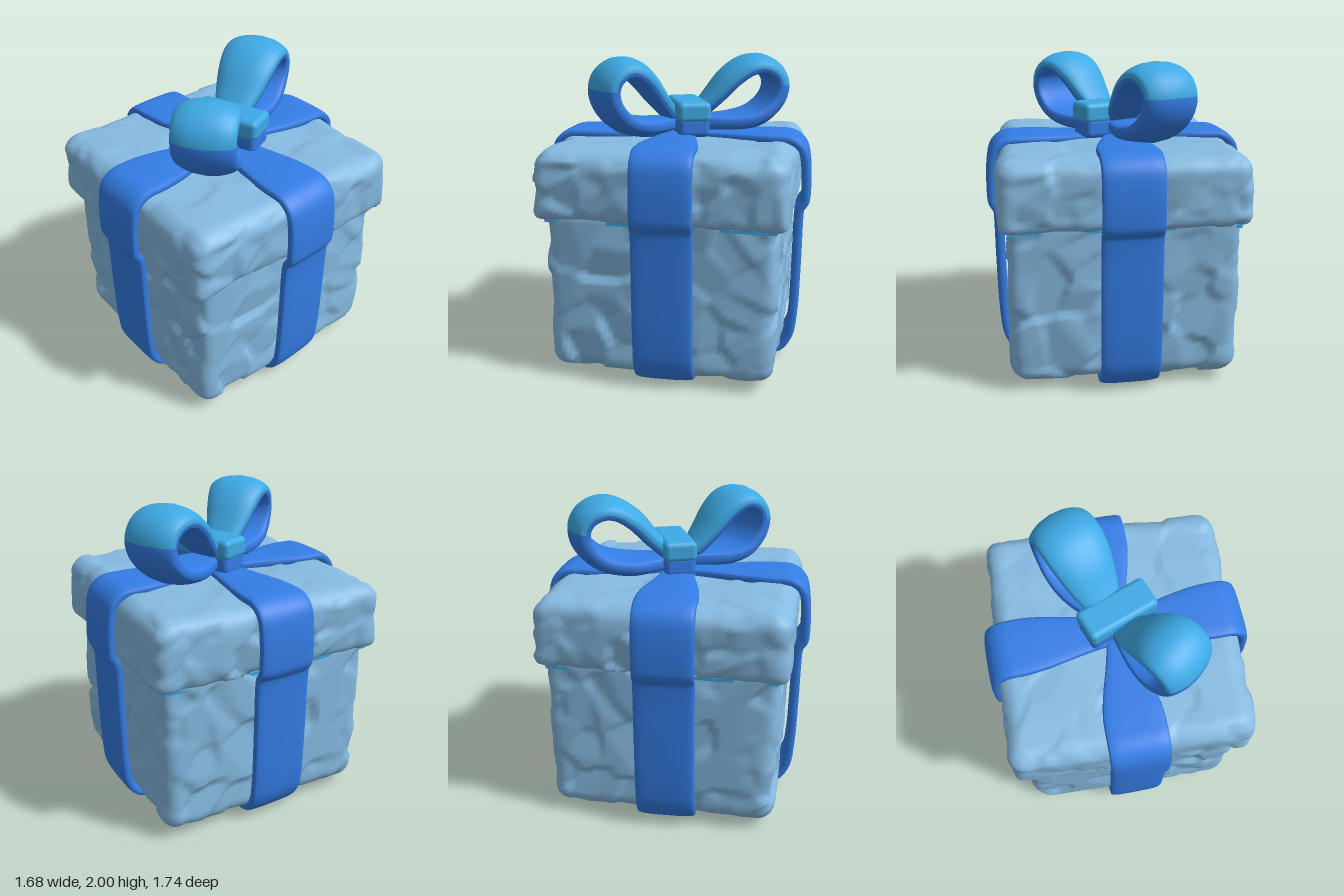
import * as THREE from 'three';
import { mergeVertices } from 'three/addons/utils/BufferGeometryUtils.js';
import { RoundedBoxGeometry } from 'three/addons/geometries/RoundedBoxGeometry.js';

const paper = new THREE.MeshStandardMaterial({ color: 0x86bbe2 });
paper.name = 'pale blue';
const ribbonBlue = new THREE.MeshStandardMaterial({ color: 0x347de6 });
ribbonBlue.name = 'ribbon blue';
const skyBlue = new THREE.MeshStandardMaterial({ color: 0x3eaae6 });
skyBlue.name = 'sky blue';

function seeded(seed) {
  return () => {
    seed = (seed * 16807) % 2147483647;
    return seed / 2147483647;
  };
}

// Rounded box whose surface is broken into randomly tilted, chipped facets
function chippedBox(w, h, d, rBottom, rTop, seed) {
  const rand = seeded(seed);
  const half = new THREE.Vector3(w / 2, h / 2, d / 2);
  const cells = [];
  for (let i = 0; i < 180; i++) {
    const c = new THREE.Vector3(rand() - 0.5, rand() - 0.5, rand() - 0.5).multiplyScalar(2);
    const axis = ['x', 'y', 'z'][i % 3];
    c[axis] = Math.sign(c[axis]);
    c.multiply(half);
    const tilt = new THREE.Vector3(rand() - 0.5, rand() - 0.5, rand() - 0.5).multiplyScalar(0.34);
    cells.push({ c, tilt, lift: (rand() - 0.6) * 0.016 });
  }
  let geo = new THREE.BoxGeometry(w, h, d, 56, Math.max(18, Math.round(h * 38)), 56);
  const pos = geo.attributes.position;
  const p = new THREE.Vector3(), q = new THREE.Vector3(), n = new THREE.Vector3();
  for (let i = 0; i < pos.count; i++) {
    p.fromBufferAttribute(pos, i);
    const r = THREE.MathUtils.lerp(rBottom, rTop, p.y / h + 0.5);
    const inner = half.clone().subScalar(r);
    q.copy(p).clamp(inner.clone().negate(), inner);
    n.copy(p).sub(q).normalize();
    p.copy(q).addScaledVector(n, r);
    let sum = 0, weight = 1e-30;
    for (const { c, tilt, lift } of cells) {
      const k = Math.exp(-900 * p.distanceToSquared(c));
      sum += k * (tilt.x * (p.x - c.x) + tilt.y * (p.y - c.y) + tilt.z * (p.z - c.z) + lift);
      weight += k;
    }
    n.y *= 0.5;
    p.addScaledVector(n, THREE.MathUtils.clamp(sum / weight, -0.024, 0.007));
    pos.setXYZ(i, p.x, p.y, p.z);
  }
  geo.deleteAttribute('uv');
  geo.deleteAttribute('normal');
  geo = mergeVertices(geo, 1e-4);
  geo.computeVertexNormals();
  return geo;
}

// Closed band: soft rectangular section swept round a counterclockwise path in
// the xy plane, its outside domed by crown(r). Faces for which isLight(...)
// holds use the second material.
function bandGeometry(points, halfWidth, halfThick, crown = () => 0, isLight = () => false) {
  const curve = new THREE.CatmullRomCurve3(
    points.map(([x, y]) => new THREE.Vector3(x, y, 0)), true, 'centripetal');
  const N = points.length * 6, M = 28;
  const verts = [], dark = [], light = [];
  const soft = (v, e) => Math.sign(v) * Math.pow(Math.abs(v), e);
  for (let i = 0; i < N; i++) {
    const c = curve.getPoint(i / N), t = curve.getTangent(i / N);
    const r = Math.abs(c.x);
    for (let j = 0; j < M; j++) {
      const a = (j / M) * Math.PI * 2;
      const b = soft(Math.cos(a), 0.6);
      const off = halfThick * soft(Math.sin(a), 0.45) + (j < M / 2 ? crown(r) * (1 - b * b) : 0);
      verts.push(c.x + t.y * off, c.y - t.x * off, halfWidth(r) * b);
    }
  }
  for (let i = 0; i < N; i++) {
    for (let j = 0; j < M; j++) {
      const i2 = (i + 1) % N, j2 = (j + 1) % M;
      const a = i * M + j, b = i * M + j2, c = i2 * M + j, d = i2 * M + j2;
      (isLight(i / N, j < M / 2) ? light : dark).push(a, b, d, a, d, c);
    }
  }
  const geo = new THREE.BufferGeometry();
  geo.setAttribute('position', new THREE.Float32BufferAttribute(verts, 3));
  geo.setIndex([...dark, ...light]);
  geo.addGroup(0, dark.length, 0);
  geo.addGroup(dark.length, light.length, 1);
  geo.computeVertexNormals();
  return geo;
}

// Ribbon round the whole box; body and lid are its outer half lengths
function ribbonGeometry(body, lid, waist) {
  const t = 0.032, b = body - t, l = lid - t;
  const right = [
    [0.3, 0.04], [b - 0.18, 0.042], [b - 0.09, 0.07], [b - 0.03, 0.16], [b - 0.01, 0.3],
    [b, 0.65], [b + 0.005, 1.0], [b + 0.012, 1.04], [l - 0.005, 1.085], [l, 1.13],
    [l - 0.01, 1.34], [l - 0.035, 1.43], [l - 0.1, 1.482], [l - 0.22, 1.492], [0.3, 1.487],
  ];
  const left = right.map(([x, y]) => [-x, y]).reverse();
  const width = (r) => waist + (0.187 - waist) * THREE.MathUtils.smoothstep(r, 0, 0.62);
  return bandGeometry([[0, 0.04], ...right, [0, 1.482], ...left], width, t);
}

// Plump teardrop bow loop reaching out along +x
function loopGeometry(s) {
  const path = [
    [0.04, 1.575], [0.2, 1.565], [0.36, 1.575], [0.49, 1.615], [0.585, 1.71], [0.607, 1.8],
    [0.575, 1.87], [0.5, 1.912], [0.42, 1.905], [0.32, 1.84], [0.21, 1.725], [0.11, 1.63],
  ].map(([x, y]) => [x * s, y]);
  const width = (r) => 0.05 + 0.145 * Math.sin(Math.min(1, r / 0.46) * Math.PI / 2)
    - 0.01 * THREE.MathUtils.smoothstep(r, 0.5, 0.65);
  const crown = (r) => 0.045 * THREE.MathUtils.smoothstep(r, 0.02, 0.35);
  const turn = 5 / path.length;
  return bandGeometry(path, width, 0.042, crown, (u, outer) => outer && u >= turn - 1e-6);
}

// Rounded bar, pinched in the middle
function knotGeometry(length, height, depth) {
  const geo = new RoundedBoxGeometry(length, height, depth, 5, 0.035);
  const pos = geo.attributes.position;
  for (let i = 0; i < pos.count; i++) {
    pos.setZ(i, pos.getZ(i) * (0.82 + 0.9 * Math.abs(pos.getX(i))));
  }
  return geo;
}

export function createModel() {
  const model = new THREE.Group();
  model.name = 'giftBox';
  const add = (parent, name, geo, mat) => {
    const mesh = new THREE.Mesh(geo, mat);
    mesh.name = name;
    parent.add(mesh);
    return mesh;
  };

  // Box and lid, turned slightly
  const box = new THREE.Group();
  box.name = 'box';
  box.rotation.y = -0.085;
  model.add(box);
  add(box, 'base', chippedBox(1.42, 1.06, 1.43, 0.11, 0.06, 77), paper).position.y = 0.585;
  add(box, 'lid', chippedBox(1.52, 0.43, 1.55, 0.06, 0.12, 4321), paper).position.y = 1.265;
  add(box, 'lidTrim', new THREE.BoxGeometry(1.41, 0.02, 1.42), skyBlue).position.y = 1.04;

  // Two crossing ribbons
  const ribbons = new THREE.Group();
  ribbons.name = 'ribbons';
  model.add(ribbons);
  const pair = [ribbonBlue, skyBlue];
  add(ribbons, 'sideRibbon', ribbonGeometry(0.797, 0.84, 0.1), pair).rotation.y = -0.035;
  add(ribbons, 'frontRibbon', ribbonGeometry(0.82, 0.865, 0.07), pair).rotation.y = Math.PI / 2 - 0.05;

  // Bow loops
  const bow = new THREE.Group();
  bow.name = 'bow';
  model.add(bow);
  for (const [name, x, z, s] of [['frontLoop', 0.57, 0.82, 0.89], ['backLoop', -0.35, -0.935, 1.05]]) {
    add(bow, name, loopGeometry(s), pair).rotation.y = Math.atan2(-z, x);
  }

  // Knot: light upper half on a dark lower half
  const knot = new THREE.Group();
  knot.name = 'knot';
  knot.position.set(0.02, 0, -0.045);
  knot.rotation.y = 0.31;
  bow.add(knot);
  add(knot, 'knotTop', knotGeometry(0.47, 0.13, 0.21), skyBlue).position.y = 1.655;
  add(knot, 'knotBottom', knotGeometry(0.45, 0.13, 0.2), ribbonBlue).position.y = 1.56;

  return model;
}
